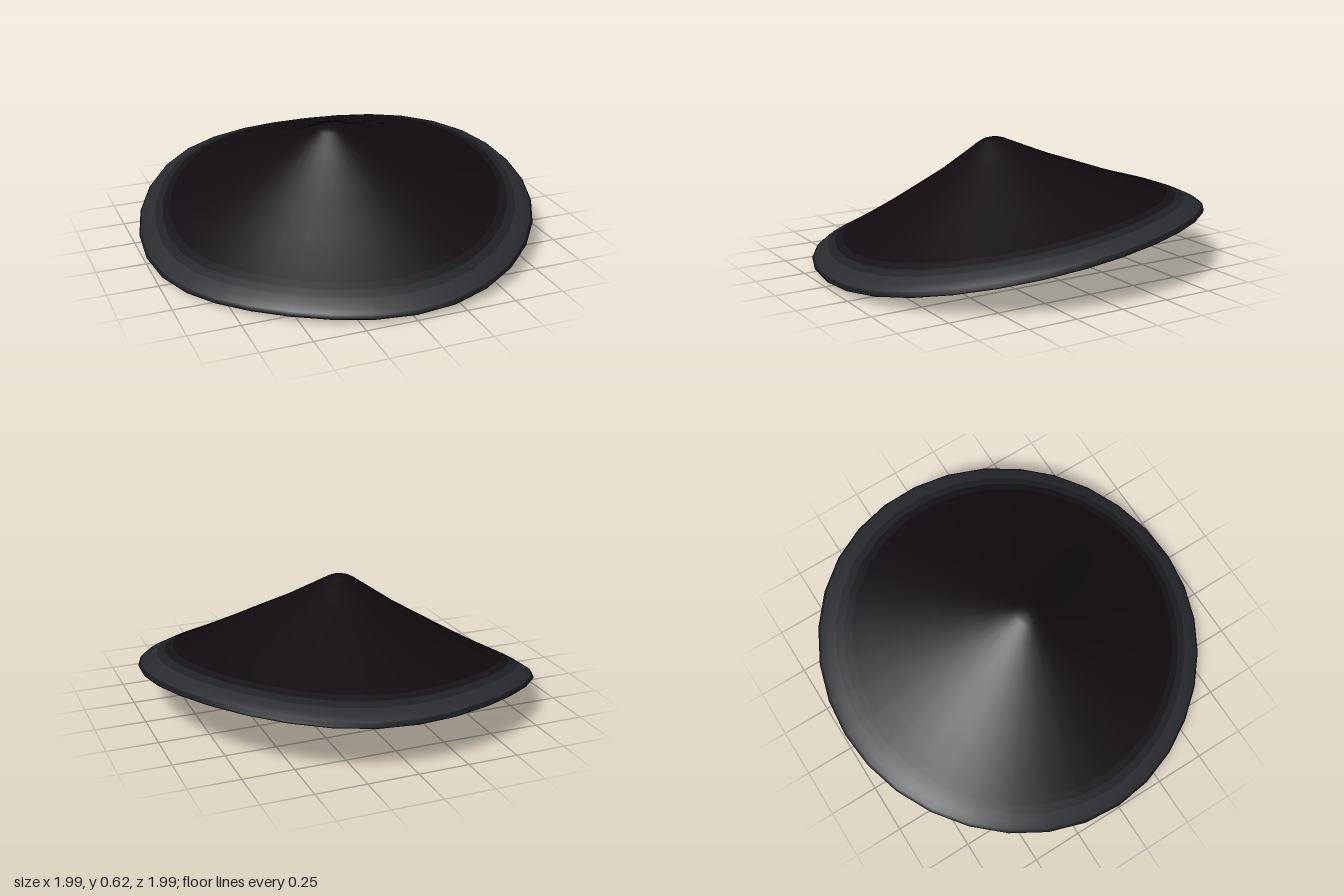
import * as THREE from 'three';

const SIDES = 32;
const TILT = 0.11;

// Half profile [radius, height above the rim plane]: tip, over the edge, back under to the middle
const PROFILE = [
  [0.001, 0.473], [0.04, 0.472], [0.065, 0.462], [0.14, 0.42], [0.28, 0.343], [0.43, 0.272],
  [0.58, 0.2], [0.72, 0.137], [0.83, 0.091],
  [0.87, 0.075], [0.91, 0.057], [0.95, 0.037], [0.985, 0.015],
  [0.997, 0.0], [0.99, -0.01], [0.965, -0.016],
  [0.9, -0.008], [0.75, 0.04], [0.55, 0.115], [0.35, 0.19], [0.18, 0.245], [0.07, 0.273], [0.001, 0.278],
];

const ripple = (t) => Math.cos(t) + Math.cos(3 * t);

// Gentle waves in the tilted rim, growing outward
function wave(r, a) {
  const odd = 0.022 * ripple(a - 0.75 * Math.PI) - 0.011 * ripple(a - 0.25 * Math.PI);
  return r * r * (odd + 0.01 * (1 - Math.cos(4 * a)));
}

// The outline is not quite round: a little shorter along the tilt
function outline(a) {
  const t = a - 0.25 * Math.PI;
  return 1 + 0.008 * ripple(t) - 0.01 * Math.cos(2 * t);
}

// Faces between two profile rings
function bandIndex(from, to) {
  const index = [];
  for (let i = from; i < to; i++) {
    for (let j = 0; j < SIDES; j++) {
      const k = (j + 1) % SIDES;
      const a = i * SIDES + j, b = i * SIDES + k;
      index.push(a, a + SIDES, b + SIDES, a, b + SIDES, b);
    }
  }
  return index;
}

// All rings of the hat: a lathe whose axis leans and whose rim waves
function buildSurface() {
  const positions = [];
  for (const [r, h] of PROFILE) {
    for (let j = 0; j < SIDES; j++) {
      const a = (j / SIDES) * Math.PI * 2;
      const x = r * outline(a) * Math.cos(a), z = -r * outline(a) * Math.sin(a);
      positions.push(x - TILT * h, h + TILT * (x - z) + wave(r, a), z + TILT * h);
    }
  }
  const geometry = new THREE.BufferGeometry();
  geometry.setAttribute('position', new THREE.Float32BufferAttribute(positions, 3));
  geometry.setIndex(bandIndex(0, PROFILE.length - 1));
  geometry.computeVertexNormals();
  return geometry;
}

export function createModel() {
  const hat = new THREE.Group();
  hat.name = 'conicalHat';
  const surface = buildSurface();

  // Parts share positions and normals so shading flows across their borders
  const addPart = (name, from, to, color) => {
    const geometry = new THREE.BufferGeometry();
    geometry.setAttribute('position', surface.getAttribute('position'));
    geometry.setAttribute('normal', surface.getAttribute('normal'));
    geometry.setIndex(bandIndex(from, to));
    const mesh = new THREE.Mesh(geometry, new THREE.MeshStandardMaterial({ color }));
    mesh.name = name;
    hat.add(mesh);
  };

  // Dark crown, fading into a paler band round the brim
  addPart('crown', 0, 8, 0x100b0f);
  addPart('brimBandInner', 8, 9, 0x161418);
  addPart('brimBandMiddle', 9, 10, 0x202125);
  addPart('brimBandOuter', 10, 12, 0x292b2f);
  addPart('brimEdge', 12, 15, 0x1a1c1e);
  // Hollow underside, darker towards the middle
  addPart('underside', 15, 18, 0x1f2223);
  addPart('undersideInner', 18, 19, 0x1a1b1c);
  addPart('undersideMiddle', 19, PROFILE.length - 1, 0x141214);

  // Stand on the ground
  surface.computeBoundingBox();
  hat.position.y = -surface.boundingBox.min.y;
  return hat;
}
